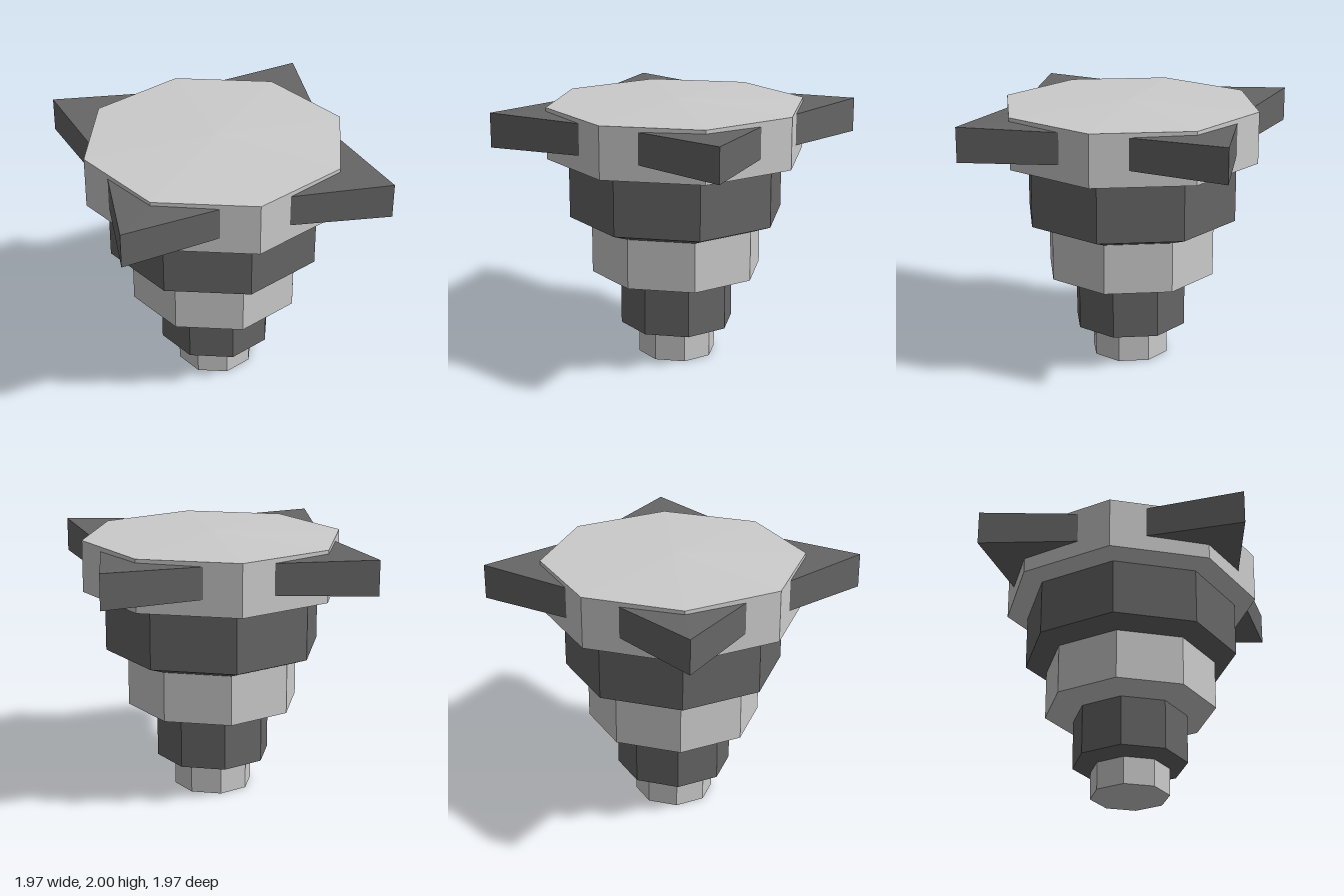
import * as THREE from 'three';

const material = (color) => new THREE.MeshStandardMaterial({ color, flatShading: true });

// Eight-sided body, bottom to top: [radius, height] profile of each band
const BANDS = [
  { name: 'foot', dark: false, profile: [[0, 0], [0.3, 0], [0.3, 0.21]] },
  { name: 'lowerBand', dark: true, profile: [[0.3, 0.21], [0.438, 0.25], [0.438, 0.63]] },
  { name: 'middleBand', dark: false, profile: [[0.438, 0.63], [0.658, 0.68], [0.658, 1.06]] },
  { name: 'upperBand', dark: true, profile: [[0.658, 1.06], [0.824, 1.122], [0.824, 1.545]] },
  { name: 'head', dark: false, profile: [[0.824, 1.545], [0.987, 1.58], [0.987, 1.97], [0, 2]] },
];

// Four-pointed star plate, slightly thicker at its tips, running through the head
function starGeometry() {
  const geometry = new THREE.CylinderGeometry(1, 1, 1, 8);
  const p = geometry.attributes.position;
  const middle = 1.818;
  for (let i = 0; i < p.count; i++) {
    const x = p.getX(i), z = p.getZ(i);
    const side = Math.sign(p.getY(i));
    const isTip = Math.abs(x) > 0.1 && Math.abs(z) > 0.1;
    if (isTip) {
      p.setXYZ(i, Math.sign(x) * 0.987, middle + side * 0.13, Math.sign(z) * 0.987);
    } else {
      p.setXYZ(i, x * 0.843, middle + side * 0.113, z * 0.843);
    }
  }
  geometry.computeVertexNormals();
  return geometry;
}

export function createModel() {
  const model = new THREE.Group();
  model.name = 'steppedPlug';
  const light = material(0xcccccc);
  const dark = material(0x666666);

  for (const { name, dark: isDark, profile } of BANDS) {
    const points = profile.map(([r, y]) => new THREE.Vector2(r, y));
    const band = new THREE.Mesh(new THREE.LatheGeometry(points, 8), isDark ? dark : light);
    band.name = name;
    model.add(band);
  }

  const star = new THREE.Mesh(starGeometry(), dark);
  star.name = 'cornerSpikes';
  model.add(star);
  return model;
}
